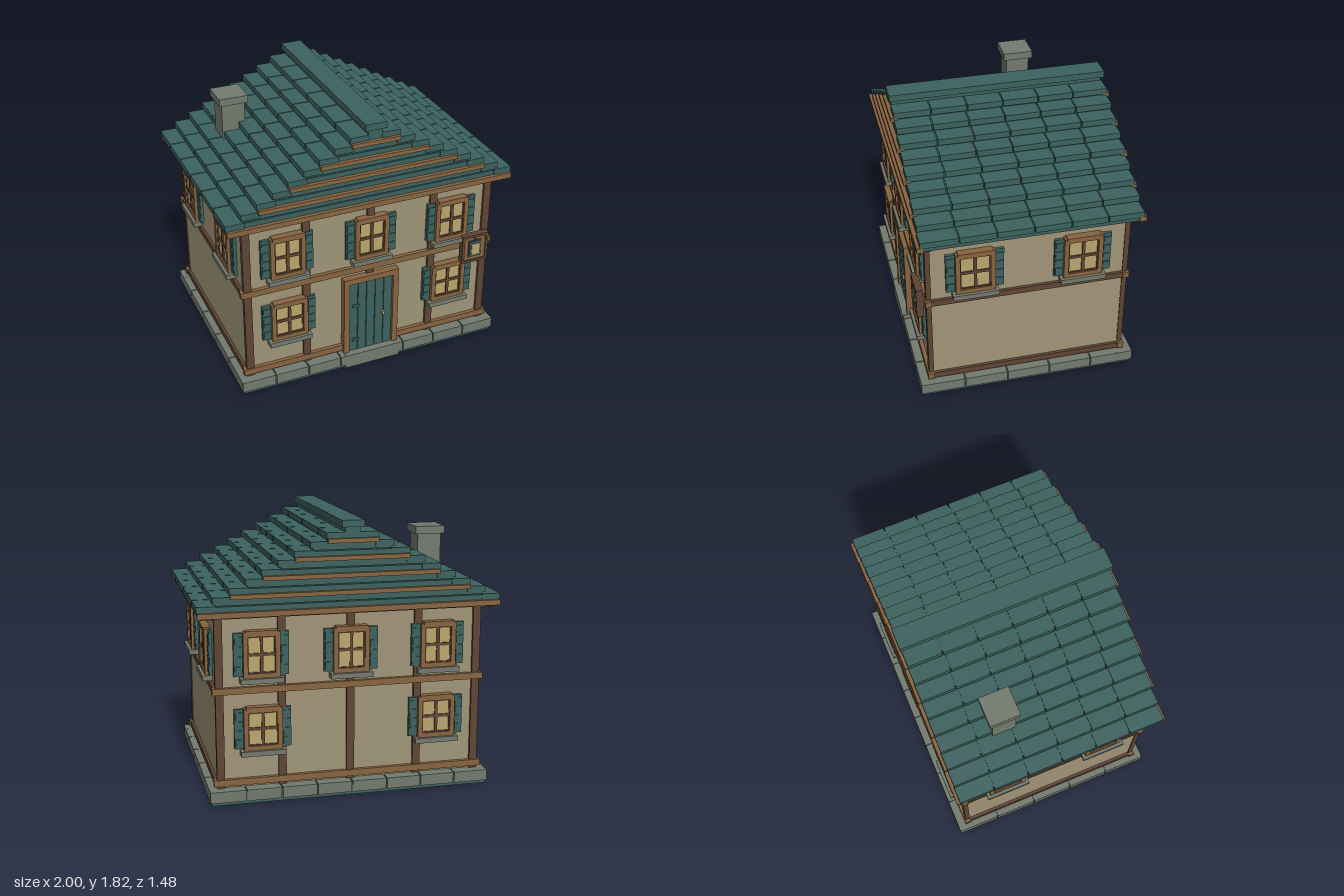
import * as THREE from 'three';

const mat = (name, color) => {
  const m = new THREE.MeshStandardMaterial({ color });
  m.name = name;
  return m;
};
const M = {
  plaster: mat('plaster', 0xa09578),
  timber: mat('dark timber', 0x5f4534),
  trim: mat('light timber', 0x886440),
  teal: mat('teal', 0x3c625f),
  stone: mat('stone', 0x747a6e),
  glass: mat('glass', 0xbca66f),
};

// Box given by its extents on each axis
function box(parent, name, m, x0, x1, y0, y1, z0, z1) {
  const mesh = new THREE.Mesh(new THREE.BoxGeometry(x1 - x0, y1 - y0, z1 - z0), m);
  mesh.position.set((x0 + x1) / 2, (y0 + y1) / 2, (z0 + z1) / 2);
  mesh.name = name;
  parent.add(mesh);
  return mesh;
}

function group(parent, name, x = 0, y = 0, z = 0, turn = 0) {
  const g = new THREE.Group();
  g.name = name;
  g.position.set(x, y, z);
  g.rotation.y = turn;
  parent.add(g);
  return g;
}

// Rectangular frame: two uprights and two rails
function frame(g, name, m, w, y0, y1, t, z0, z1) {
  for (const s of [-1, 1]) {
    const x = s * (w / 2 - t / 2);
    box(g, name, m, x - t / 2, x + t / 2, y0, y1, z0, z1);
  }
  box(g, name, m, -w / 2 + t, w / 2 - t, y0, y0 + t, z0, z1);
  box(g, name, m, -w / 2 + t, w / 2 - t, y1 - t, y1, z0, z1);
}

// Shuttered window; origin at the bottom centre of the frame, wall plane at z = 0
function windowUnit(parent, x, y, z, turn, w, h) {
  const g = group(parent, 'window', x, y, z, turn);
  frame(g, 'windowFrame', M.trim, w, 0, h - 0.01, 0.03, 0, 0.045);
  box(g, 'windowHead', M.trim, -w / 2 + 0.015, w / 2 - 0.015, h - 0.02, h, 0, 0.05);
  box(g, 'pane', M.glass, -w / 2 + 0.03, w / 2 - 0.03, 0.03, h - 0.03, 0, 0.028);
  frame(g, 'sash', M.timber, w - 0.05, 0.025, h - 0.035, 0.012, 0.005, 0.036);
  const mid = h / 2 - 0.003;
  box(g, 'mullion', M.timber, -0.01, 0.01, 0.035, h - 0.045, 0.01, 0.037);
  box(g, 'transom', M.timber, -w / 2 + 0.036, w / 2 - 0.036, mid - 0.01, mid + 0.01, 0.01, 0.036);
  box(g, 'sill', M.stone, -w / 2 - 0.022, w / 2 + 0.022, -0.034, 0, 0, 0.065);
  for (const s of [-1, 1]) {
    const c = s * (w / 2 + 0.031);
    box(g, 'shutter', M.teal, c - 0.029, c + 0.029, 0.01, h - 0.015, 0.002, 0.022);
    for (let i = 0; i < 4; i++) {
      const yy = 0.025 + i * (h - 0.05) / 4;
      box(g, 'shutterSlat', M.teal, c - 0.022, c + 0.022, yy, yy + 0.05, 0.022, 0.028);
    }
  }
}

function buildBase(root) {
  const g = group(root, 'foundation');
  box(g, 'plinth', M.teal, -0.93, 0.93, 0, 0.085, -0.727, 0.727);
  const gap = 0.004;
  for (const s of [-1, 1]) {
    for (let i = 0; i < 8; i++) {
      const x = -0.94 + i * 0.235;
      box(g, 'foundationBlock', M.stone, x + (i && gap), x + 0.235 - (i < 7 ? gap : 0), 0.02, 0.094,
        s > 0 ? 0.63 : -0.736, s > 0 ? 0.736 : -0.63);
    }
    for (let i = 0; i < 5; i++) {
      const z = -0.73 + i * 0.292;
      box(g, 'foundationBlock', M.stone, s > 0 ? 0.84 : -0.941, s > 0 ? 0.941 : -0.84, 0.02, 0.093, z + gap, z + 0.292 - gap);
    }
  }
  box(g, 'doorstep', M.stone, -0.2, 0.2, -0.0005, 0.098, 0.6, 0.74);
}

function buildWalls(root) {
  box(root, 'walls', M.plaster, -0.88, 0.88, 0.08, 1.24, -0.655, 0.655);
  for (const turn of [0, Math.PI]) {
    const g = group(root, turn ? 'backTimbers' : 'frontTimbers', 0, 0, 0, turn);
    for (const x of [-0.861, -0.455, 0, 0.455, 0.861])
      box(g, 'post', M.timber, x - 0.026, x + 0.026, 0.09, 1.225, 0.64, 0.673);
    for (const y of [0.11, 0.722])
      box(g, 'beam', M.trim, -0.908, 0.908, y, y + 0.043, 0.64, 0.682);
    box(g, 'topBeam', M.timber, -0.97, 0.97, 1.213, 1.24, 0.64, 0.678);
    // Windows
    for (const x of [-0.588, 0, 0.588]) windowUnit(g, x, 0.826, 0.655, 0, 0.238, 0.308);
    for (const x of [-0.584, 0.584]) windowUnit(g, x, 0.345, 0.655, 0, 0.252, 0.29);
  }
  for (const s of [-1, 1]) {
    const g = group(root, s > 0 ? 'leftSide' : 'rightSide', 0, 0, 0, s * Math.PI / 2);
    for (const [y0, y1] of [[0.11, 0.152], [0.722, 0.765], [1.213, 1.235]])
      box(g, 'sideBeam', M.timber, -0.662, 0.662, y0, y1, 0.87, 0.9);
    for (const x of [-0.355, 0.355]) windowUnit(g, x, 0.81, 0.88, 0, 0.258, 0.312);
  }
}

function buildDoor(root) {
  const g = group(root, 'door', 0, 0, 0.655);
  for (const s of [-1, 1]) box(g, 'doorJamb', M.trim, s * 0.18 - 0.02, s * 0.18 + 0.02, 0.095, 0.65, 0, 0.05);
  box(g, 'doorLintel', M.trim, -0.2, 0.2, 0.648, 0.69, 0, 0.05);
  box(g, 'doorBacking', M.timber, -0.162, 0.162, 0.095, 0.65, 0, 0.027);
  for (let i = 0; i < 5; i++) {
    const x = -0.158 + i * 0.0632;
    box(g, 'doorPlank', M.teal, x + 0.002, x + 0.061, 0.098, 0.647, 0.01, 0.035);
  }
  for (const y of [0.185, 0.465]) box(g, 'hinge', M.teal, -0.135, -0.085, y - 0.01, y + 0.01, 0.03, 0.043);
  box(g, 'doorHandle', M.glass, 0.082, 0.098, 0.345, 0.37, 0.03, 0.052);
}

function buildRoof(root) {
  const g = group(root, 'roof');
  const rise = 0.0545, run = 0.1037, Z = 0.715;
  box(g, 'eaves', M.teal, -0.985, 0.985, 1.23, 1.268, -0.705, 0.705);
  for (let i = 0; i < 9; i++) {
    const top = 1.305 + i * rise, half = 1 - i * run;
    box(g, 'roofCore', M.teal, -half + 0.018, half - 0.018, top - rise, top - 0.006, -0.708, 0.708);
    for (const s of [-1, 1]) {
      for (let k = 0; k < 6; k++) {
        // Seams shift slightly from row to row
        const shift = i % 2 ? 0.005 : -0.005;
        const z0 = k ? -Z + k * Z / 3 + shift + 0.004 : -Z;
        const z1 = k < 5 ? -Z + (k + 1) * Z / 3 + shift - 0.004 : Z;
        const a = s * half, b = s * (half - 0.125);
        box(g, 'roofTile', M.teal, Math.min(a, b), Math.max(a, b), top - 0.042, top, z0, z1);
      }
    }
  }
  box(g, 'ridgeBase', M.teal, -0.05, 0.05, 1.73, 1.78, -0.71, 0.71);
  box(g, 'ridgeCap', M.teal, -0.073, 0.073, 1.773, 1.817, -0.725, 0.725);
  // Stepped gable boards
  for (let j = 0; j < 5; j++) {
    const half = 0.995 - j * 0.2075, y = j ? 1.25 + j * 0.11 : 1.247;
    const t = j ? 0.014 : 0.018;
    for (const s of [-1, 1])
      box(g, 'gableBoard', M.trim, -half, half, y - t, y + t, s > 0 ? 0.69 : -0.735, s > 0 ? 0.735 : -0.69);
  }
}

function buildChimney(root) {
  const g = group(root, 'chimney');
  box(g, 'chimneyShaft', M.stone, -0.7, -0.54, 1.3, 1.67, -0.368, -0.207);
  box(g, 'chimneyCap', M.stone, -0.72, -0.52, 1.665, 1.716, -0.39, -0.185);
}

function buildSign(root) {
  const g = group(root, 'hangingSign', 0.762, 0, 0);
  box(g, 'signBracket', M.timber, 0.06, 0.095, 0.7, 0.78, 0.66, 0.7);
  box(g, 'signBoard', M.trim, -0.09, 0.09, 0.63, 0.825, 0.688, 0.722);
  frame(g, 'signFrame', M.timber, 0.196, 0.62, 0.834, 0.018, 0.686, 0.732);
  box(g, 'signPanelEdge', M.timber, -0.049, 0.049, 0.662, 0.79, 0.71, 0.728);
  box(g, 'signPanel', M.teal, -0.043, 0.043, 0.668, 0.784, 0.71, 0.734);
  box(g, 'signInset', M.glass, -0.029, 0.029, 0.685, 0.767, 0.73, 0.738);
  box(g, 'signHanger', M.teal, -0.004, 0.004, 0.78, 0.83, 0.715, 0.735);
}

export function createModel() {
  const root = new THREE.Group();
  root.name = 'house';
  buildBase(root);
  buildWalls(root);
  buildDoor(root);
  buildRoof(root);
  buildChimney(root);
  buildSign(root);
  return root;
}
